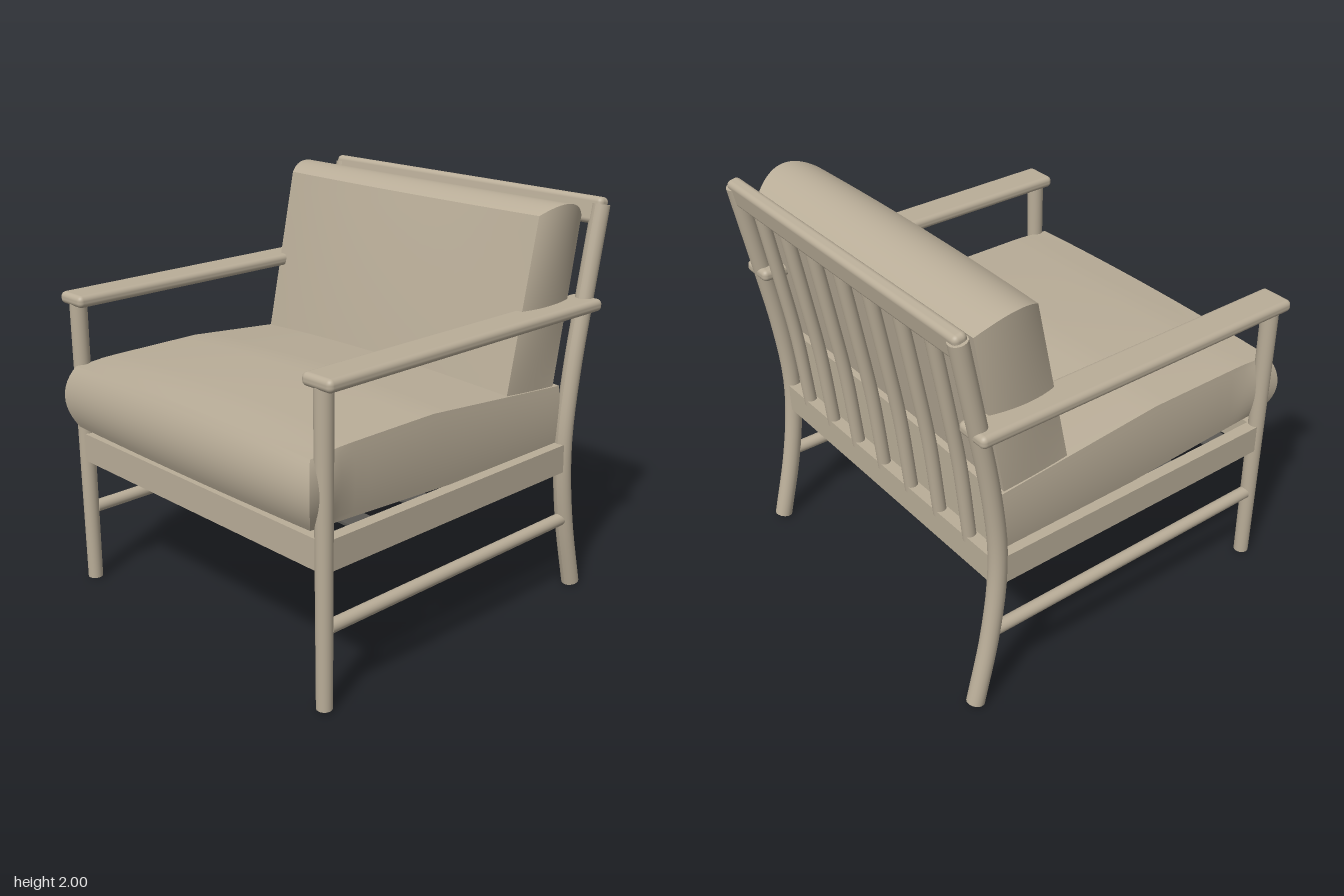
import * as THREE from 'three';
import { RoundedBoxGeometry } from 'three/addons/geometries/RoundedBoxGeometry.js';

const wood = new THREE.MeshStandardMaterial({ color: 0xb9ad98 });
wood.name = 'warm beige';
const webbing = new THREE.MeshStandardMaterial({ color: 0x5a5854 });
webbing.name = 'dark webbing';

const lerp = THREE.MathUtils.lerp;

export function createModel() {
  const chair = new THREE.Group();
  chair.name = 'armchair';

  const add = (name, geometry, x = 0, y = 0, z = 0, material = wood) => {
    const mesh = new THREE.Mesh(geometry, material);
    mesh.name = name;
    mesh.position.set(x, y, z);
    chair.add(mesh);
    return mesh;
  };

  // Moves every vertex of a geometry by a rule.
  const reshape = (geometry, rule) => {
    const pos = geometry.attributes.position;
    const p = new THREE.Vector3();
    for (let i = 0; i < pos.count; i++) {
      rule(p.fromBufferAttribute(pos, i));
      pos.setXYZ(i, p.x, p.y, p.z);
    }
    geometry.computeVertexNormals();
    return geometry;
  };

  // Capped rod bent along a curve that lies in the y-z plane.
  const bentRod = (radius, points) => {
    const curve = new THREE.CatmullRomCurve3(points.map(([y, z]) => new THREE.Vector3(0, y, z)));
    return reshape(new THREE.CylinderGeometry(radius, radius, 1, 20, 24), (p) => {
      const t = THREE.MathUtils.clamp(p.y + 0.5, 0, 1);
      const c = curve.getPointAt(t);
      const d = curve.getTangentAt(t);
      p.set(p.x, c.y - p.z * d.z, c.z + p.z * d.y);
    });
  };

  // Cushion: the rule receives u, v, w in -1..1 and writes a position.
  const cushion = (rule) => reshape(new THREE.BoxGeometry(2, 2, 2, 20, 12, 20), rule);

  for (const s of [1, -1]) {
    const side = s > 0 ? 'left' : 'right';

    // Legs
    add(side + 'FrontLeg', new THREE.CylinderGeometry(0.043, 0.037, 1.48, 24), s * 0.868, 0.75, 0.872);
    add(side + 'BackLeg', bentRod(0.044, [[0.012, -0.868], [0.36, -0.785], [0.66, -0.742],
      [0.88, -0.738], [1.2, -0.775], [1.5, -0.83], [1.96, -0.92]]), s * 0.868);

    // Armrest
    add(side + 'Armrest', new RoundedBoxGeometry(0.175, 0.06, 1.79, 4, 0.025), s * 0.867, 1.495, 0.025);

    // Side rail and lower stretcher
    add(side + 'SeatRail', new THREE.BoxGeometry(0.06, 0.145, 1.6), s * 0.868, 0.738, 0.065);
    const bar = add(side + 'Stretcher', new THREE.CylinderGeometry(0.032, 0.032, 1.6, 20), s * 0.868, 0.393, 0.045);
    bar.rotation.x = Math.PI / 2;
  }

  // Front and back seat rails
  add('frontRail', new THREE.BoxGeometry(1.7, 0.145, 0.06), 0, 0.738, 0.87);
  add('backRail', new THREE.BoxGeometry(1.7, 0.145, 0.06), 0, 0.738, -0.74);

  // Support straps under the seat
  for (const z of [0.62, 0.27, -0.09, -0.45]) {
    add('seatStrap', new THREE.BoxGeometry(1.68, 0.012, 0.13), 0, 0.795, z, webbing);
  }

  // Top rail, leaning back with the legs
  const topRail = add('topRail', new RoundedBoxGeometry(1.79, 0.13, 0.07, 4, 0.025), 0, 1.93, -0.911);
  topRail.rotation.x = -0.19;

  // Back spindles
  for (let i = -3; i <= 3; i++) {
    add('backSpindle', bentRod(0.032, [[0.78, -0.74], [1.2, -0.785], [1.5, -0.835], [1.92, -0.91]]), i * 0.224);
  }

  // Seat cushion: bulging front, crowned top, underside sinking toward the back
  add('seatCushion', cushion((p) => {
    const { x: u, y: v, z: w } = p;
    const z = lerp(-0.71, 0.925, (w + 1) / 2) + (w > 0.99 ? 0.045 * (1 - v * v) : 0);
    const front = THREE.MathUtils.smoothstep(w, 0.75, 1);
    const crown = (1 - u * u) * (w > 0 ? 1 - w * w * 0.5 : 1);
    const top = lerp(1.1, 1.18, Math.min(1, (z + 0.71) / 0.9)) - 0.012 * front + 0.035 * crown;
    const bottom = lerp(0.77, 0.855, (w + 1) / 2) - 0.008 * (1 - u * u);
    const half = 0.842 + (0.012 + 0.034 * front) * (1 - v * v);
    p.set(u * half, lerp(bottom, top, (v + 1) / 2), z);
  }));

  // Back cushion: leaning, thinner toward its rounded top
  add('backCushion', cushion((p) => {
    const { x: u, y: v, z: w } = p;
    const t = (v + 1) / 2;
    const k = (w + 1) / 2;
    const frontZ = lerp(-0.31, -0.5, t) + 0.045 * (1 - u * u) * (1 - 0.6 * t * t);
    const backZ = lerp(-0.665, -0.82, t);
    const topY = lerp(1.915, 1.955, k) + 0.062 * (1 - w * w);
    const half = 0.832 + 0.05 * (1 - w * w) * t;
    p.set(u * half, lerp(1.06, topY, t), lerp(backZ, frontZ, k));
  }));

  return chair;
}
